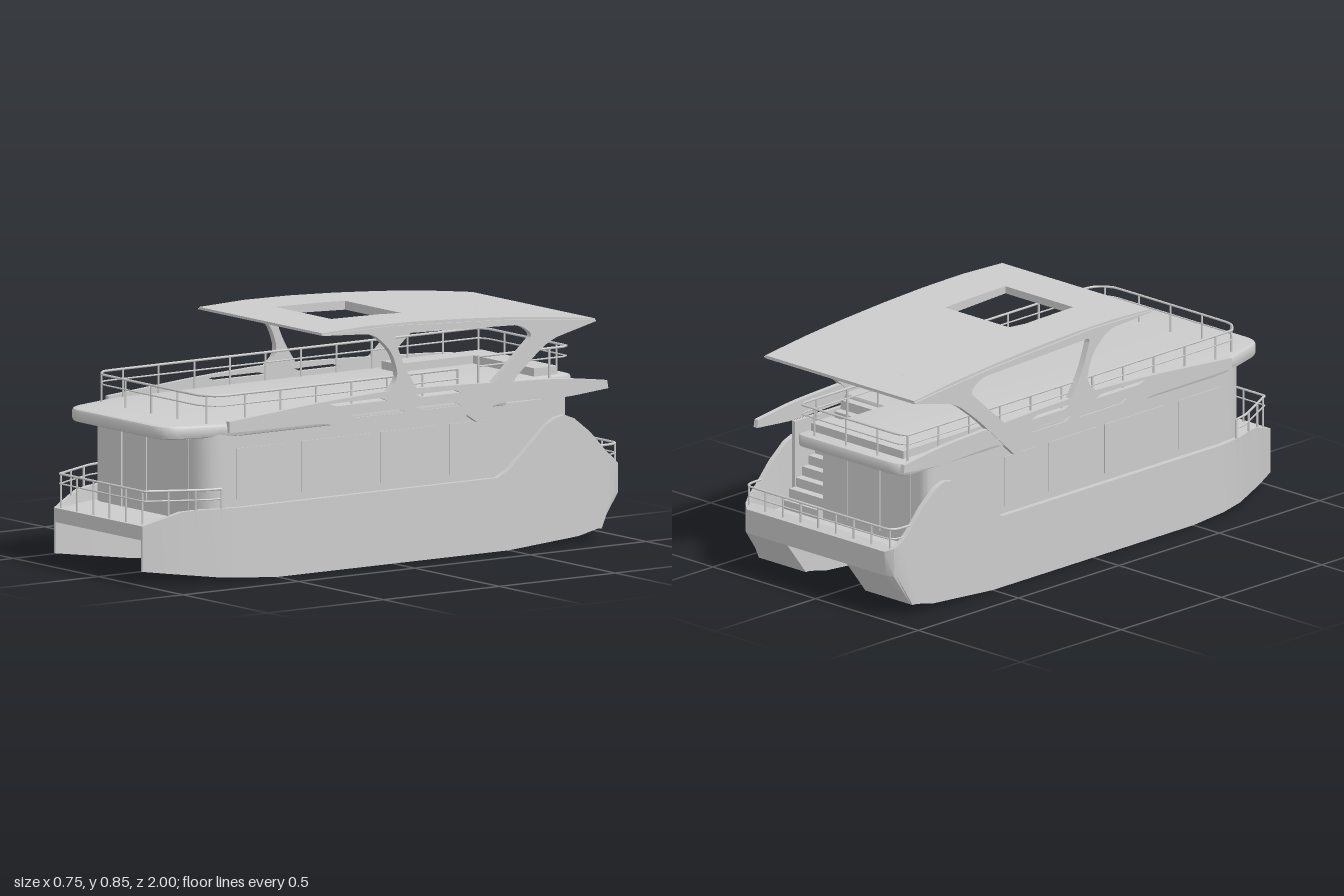
import * as THREE from 'three';
import { toCreasedNormals } from 'three/addons/utils/BufferGeometryUtils.js';

const grey = new THREE.MeshStandardMaterial({ color: 0xcccccc, side: THREE.DoubleSide });

// Linear interpolation in a table of [z, value] pairs sorted by z
function at(table, z) {
  if (z <= table[0][0]) return table[0][1];
  for (let i = 1; i < table.length; i++) {
    const [z0, a] = table[i - 1], [z1, b] = table[i];
    if (z <= z1) return a + (b - a) * (z - z0) / (z1 - z0);
  }
  return table[table.length - 1][1];
}

const shapeOf = pts => new THREE.Shape(pts.map(p => new THREE.Vector2(p[0], p[1])));

// Polygon with rounded corners; each point is [x, y, radius]
function rounded(pts) {
  const s = new THREE.Shape(), n = pts.length;
  pts.forEach((p, i) => {
    const c = new THREE.Vector2(p[0], p[1]), r = p[2] || 0;
    const toward = q => new THREE.Vector2(q[0], q[1]).sub(c).normalize().multiplyScalar(r).add(c);
    const a = toward(pts[(i + n - 1) % n]), b = toward(pts[(i + 1) % n]);
    if (i) s.lineTo(a.x, a.y); else s.moveTo(a.x, a.y);
    if (r) s.quadraticCurveTo(c.x, c.y, b.x, b.y);
  });
  s.closePath();
  return s;
}

// Side profile (z, y) extruded across x0..x1
function across(shape, x0, x1) {
  const g = new THREE.ExtrudeGeometry(shape, { depth: x1 - x0, bevelEnabled: false, curveSegments: 8 });
  return toCreasedNormals(g.rotateY(-Math.PI / 2).translate(x1, 0, 0), 0.5);
}

// Plan (x, z) extruded upward from y0 to y1
function upward(pts, y0, y1, bevel = 0) {
  const g = new THREE.ExtrudeGeometry(rounded(pts.map(([x, z, r]) => [x, -z, r])), {
    depth: y1 - y0 - 2 * bevel, bevelEnabled: bevel > 0, bevelSize: bevel, bevelThickness: bevel,
    bevelOffset: -bevel, bevelSegments: 2, curveSegments: 10 });
  return toCreasedNormals(g.rotateX(-Math.PI / 2).translate(0, y0 + bevel, 0), 0.5);
}

// Twin hulls joined by the main deck, lofted along z
function hullGeometry() {
  const outer = [[-1, .335], [-.98, .362], [-.95, .375], [.65, .375], [.75, .358], [.9, .305], [1, .262]];
  const inner = [[-1, .145], [.4, .145], [.7, .165], [.9, .22], [1, .252]];
  const keel = [[-1, .04], [-.88, .04], [-.8, .022], [-.5, 0], [.5, 0], [.75, .02], [1, .05]];
  const rim = [[-1, .25], [-.97, .268], [-.92, .31], [-.85, .385], [-.78, .44], [-.74, .455], [-.7, .448],
    [-.66, .425], [-.5, .285], [-.45, .26], [.8, .26], [.87, .255], [1, .21]];
  const zs = [-1, -.98, -.971, -.97, -.95, -.92, -.88, -.85, -.8, -.78, -.74, -.7, -.66, -.5, -.45, 0,
    .4, .5, .6, .65, .7, .75, .8, .87, .9, .95, 1];
  const pos = [], idx = [];
  let n = 0;
  const ring = z => {
    const xo = at(outer, z), xi = at(inner, z), yb = at(keel, z), top = at(rim, z);
    const deck = z < -.9705 ? top : .21;
    const half = [[0, deck], [xo - .025, deck], [xo - .02, top], [xo, top], [xo, .16], [xo, yb],
      [xi, yb], [xi, .16], [0, .16]];
    return half.concat(half.slice(1, -1).reverse().map(([x, y]) => [-x, y]));
  };
  zs.forEach((z, k) => {
    const r = ring(z);
    n = r.length;
    // raked transom below the deck
    r.forEach(([x, y]) => pos.push(x, y, Math.max(z, -1 + Math.max(0, .17 - y) * .77)));
    for (let j = 0; k && j < n; j++) {
      const a = (k - 1) * n + j, b = (k - 1) * n + (j + 1) % n;
      idx.push(a, a + n, b, b, a + n, b + n);
    }
  });
  [[0, zs[0]], [(zs.length - 1) * n, zs[zs.length - 1]]].forEach(([base, z], end) => {
    const tris = THREE.ShapeUtils.triangulateShape(ring(z).map(p => new THREE.Vector2(...p)), []);
    tris.forEach(([a, b, c]) => end ? idx.push(base + a, base + c, base + b) : idx.push(base + a, base + b, base + c));
  });
  // ring runs clockwise seen from the bow, so flip to face outward
  for (let i = 0; i < idx.length; i += 3) [idx[i + 1], idx[i + 2]] = [idx[i + 2], idx[i + 1]];
  const g = new THREE.BufferGeometry();
  g.setAttribute('position', new THREE.Float32BufferAttribute(pos, 3));
  g.setIndex(idx);
  return toCreasedNormals(g, 0.5);
}

export function createModel() {
  const model = new THREE.Group();
  const add = (name, geometry, parent = model) => {
    const m = new THREE.Mesh(geometry, grey);
    m.name = name;
    parent.add(m);
    return m;
  };
  const box = (name, x0, x1, y0, y1, z0, z1, parent) => add(name,
    new THREE.BoxGeometry(x1 - x0, y1 - y0, z1 - z0).translate((x0 + x1) / 2, (y0 + y1) / 2, (z0 + z1) / 2), parent);

  // Railing along a plan path: horizontal bars at given heights plus posts
  const railing = (name, path, base, bars, posts) => {
    const g = new THREE.Group();
    g.name = name;
    const curve = new THREE.CatmullRomCurve3(path.map(([x, z]) => new THREE.Vector3(x, 0, z)), false, 'catmullrom', 0.15);
    bars.forEach((y, i) => add('railBar', new THREE.TubeGeometry(curve, 140, i ? .003 : .0045, 6).translate(0, y, 0), g));
    for (let i = 0; i <= posts; i++) {
      const p = curve.getPointAt(i / posts), h = bars[0] - base;
      add('railPost', new THREE.CylinderGeometry(.004, .004, h, 6).translate(p.x, base + h / 2, p.z), g);
    }
    model.add(g);
  };

  add('hull', hullGeometry());

  // Cabin with rounded front corners and a notch for the stairs
  add('cabin', upward([[-.35, .79, .1], [.35, .79, .1], [.35, -.5], [.16, -.5], [.16, -.8], [-.35, -.8, .04]], .205, .52));
  box('stairSideWall', .335, .35, .21, .515, -.76, -.5);
  const doors = [[-.25, -.155], [-.11, .0], [.012, .25]];
  doors.forEach(([a, b]) => box('frontGlassPanel', a, b, .25, .495, .785, .793));
  box('frontDoorFrame', -.15, -.143, .21, .505, .785, .796);
  [[-.27, -.14], [-.12, .02], [.04, .13]].forEach(([a, b]) => box('rearGlassPanel', a, b, .23, .48, -.803, -.79));
  for (const s of [-1, 1]) {
    [[.45, .66], [.08, .38], [-.2, .04], [-.42, -.26]].forEach(([a, b]) =>
      box('sideWindow', s * .351 - .002, s * .351 + .002, .285, .465, a, b));
  }

  // Stairs up to the sun deck
  const steps = 10;
  for (let i = 0; i < steps; i++) {
    const z = -.82 + i * .032;
    box('stairStep', .162, .336, .21, .21 + (i + 1) * .033, z, z + .034);
  }

  // Upper deck
  add('upperDeck', upward([[-.36, .68, .06], [-.285, .93, .07], [.285, .93, .07], [.36, .68, .06], [.36, -.5],
    [.16, -.5], [.16, -.935, .03], [-.36, -.935, .08]], .508, .556, .012));
  box('sternBenchSeat', -.31, .14, .555, .585, -.88, -.78);
  box('sideBenchSeat', -.31, -.22, .555, .585, -.78, -.45);

  // Canopy roof, assembled around the hatch opening
  const roofTop = [[-.88, .781], [-.7, .803], [-.5, .821], [-.3, .834], [-.1, .843], [.1, .846], [.3, .839]];
  const roofLow = [[-.88, .77], [-.7, .782], [-.5, .796], [-.19, .808], [.1, .819], [.3, .83]];
  const roof = new THREE.Group();
  roof.name = 'canopyRoof';
  model.add(roof);
  const roofPiece = (x0, x1, z0, z1) => {
    const z = Array.from({ length: 13 }, (_, i) => z0 + (z1 - z0) * i / 12);
    const pts = z.map(v => [v, at(roofLow, v)]).concat(z.reverse().map(v => [v, at(roofTop, v)]));
    add('roofPanel', across(shapeOf(pts), x0, x1), roof);
  };
  roofPiece(-.362, -.17, -.88, .3);
  roofPiece(.16, .362, -.88, .3);
  roofPiece(-.17, .16, -.88, -.19);
  roofPiece(-.17, .16, .11, .3);

  // Side bulwark with slots
  const bulwark = rounded([[.7, .525], [.3, .522, .03], [.17, .492, .03], [-.35, .49, .03], [-.48, .525, .03],
    [-.75, .515, .05], [-.935, .53], [-.93, .558], [-.75, .582, .08], [-.3, .602, .1], [0, .61, .1], [.3, .596, .1], [.7, .564]]);
  [[.02, .27, .576, .587], [-.3, -.1, .574, .586], [-.06, .18, .528, .54], [-.3, -.1, .528, .542]].forEach(([a, b, y0, y1]) =>
    bulwark.holes.push(rounded([[a, y0, .004], [a + .03, y1, .004], [b, y1, .004], [b - .03, y0, .004]])));

  // Arch: front leg, roof rib and raked strut in one outline
  const arch = rounded([[.3, .83], [.08, .817, .04], [0, .745, .04], [-.03, .65, .04], [.04, .59], [-.12, .585],
    [-.045, .7, .05], [-.008, .808, .02], [-.55, .79, .03], [-.61, .75, .03], [-.32, .495], [-.365, .465], [-.385, .468],
    [-.57, .64, .05], [-.68, .725, .05], [-.88, .772], [-.88, .776], [-.5, .812], [0, .838], [.3, .834]]);
  for (const s of [-1, 1]) {
    const name = s > 0 ? 'left' : 'right';
    add(name + 'Bulwark', across(bulwark, s * .357 - .009, s * .357 + .009));
    add(name + 'RoofArch', across(arch, s * .357 - .012, s * .357 + .012));
  }

  // Railings
  railing('upperRailing', [[.165, -.52], [.165, -.88], [.15, -.91], [-.3, -.91], [-.335, -.895], [-.345, -.86], [-.345, .68],
    [-.325, .745], [-.27, .775], [.27, .775], [.325, .745], [.345, .68], [.345, -.3]], .55, [.655, .62], 28);
  railing('bowRailing', [[-.358, .73], [-.345, .79], [-.255, .97], [-.235, .985], [.235, .985], [.255, .97], [.345, .79],
    [.358, .73]], .21, [.33, .295], 11);
  railing('sternRailing', [[-.362, -.9], [-.36, -.95], [-.325, -.985], [.325, -.985], [.36, -.95], [.362, -.9]],
    .24, [.33, .295], 10);

  return model;
}
